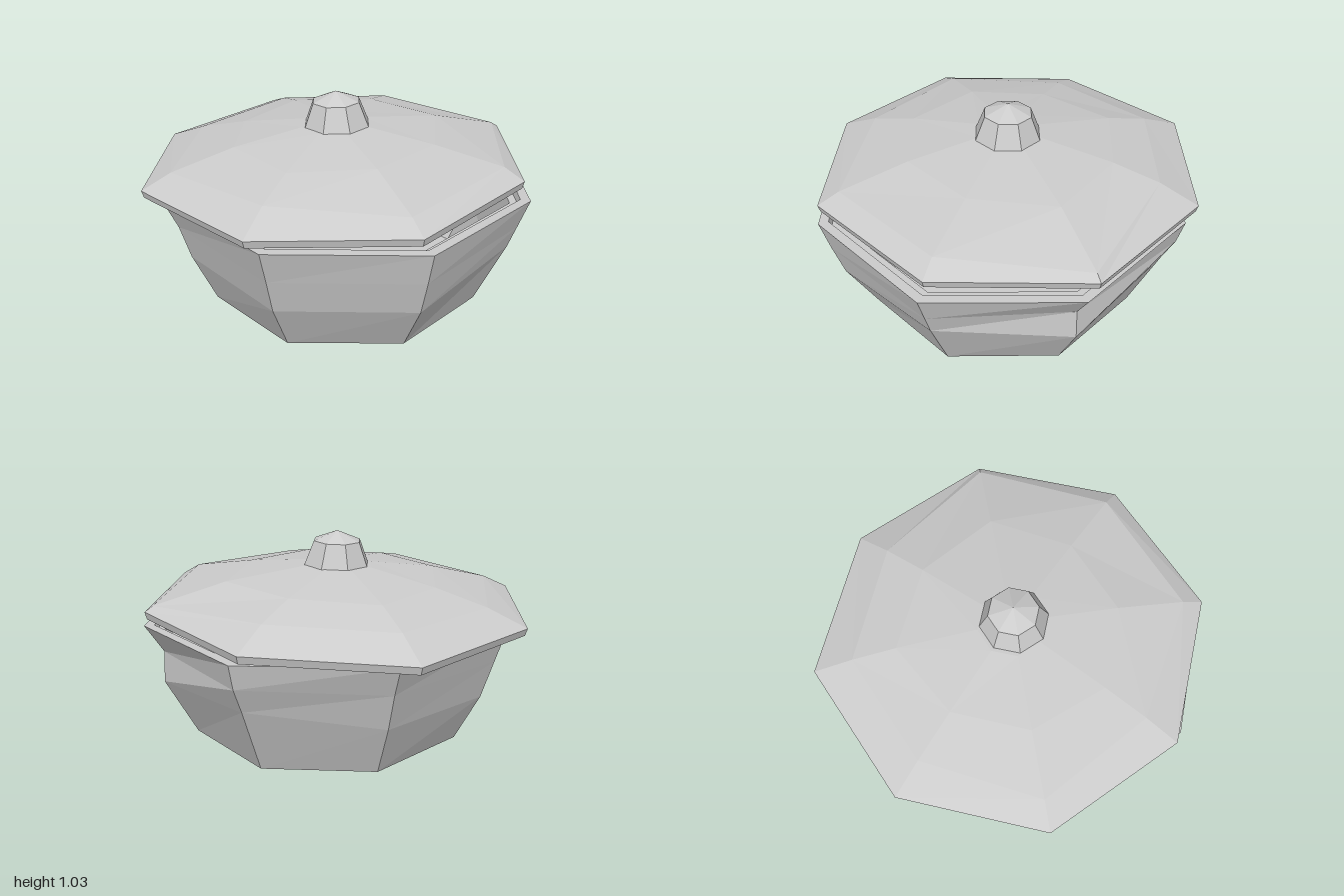
import * as THREE from 'three';

const SIDES = 8;
const material = new THREE.MeshStandardMaterial({ color: 0xcccccc, flatShading: true });

// Octagonal cross-section; radius and height may vary per corner.
// Corner 0 points to +x, corner 2 to +z (front).
function ring(radius, height) {
  const at = (v, i) => (Array.isArray(v) ? v[i] : v);
  return Array.from({ length: SIDES }, (_, i) => {
    const a = (i / SIDES) * Math.PI * 2;
    return new THREE.Vector3(Math.cos(a) * at(radius, i), at(height, i), Math.sin(a) * at(radius, i));
  });
}

// Faceted skin over rings, listed from the bottom centre, up the outside, then inwards.
function skin(name, rings) {
  const pos = [];
  const tri = (a, b, c) => {
    if (a.distanceTo(b) > 1e-5 && b.distanceTo(c) > 1e-5 && c.distanceTo(a) > 1e-5) {
      for (const p of [a, b, c]) pos.push(p.x, p.y, p.z);
    }
  };
  for (let k = 0; k < rings.length - 1; k++) {
    for (let i = 0; i < SIDES; i++) {
      const j = (i + 1) % SIDES;
      const [a, b, c, d] = [rings[k][i], rings[k][j], rings[k + 1][j], rings[k + 1][i]];
      tri(a, d, b);
      tri(b, d, c);
    }
  }
  const geometry = new THREE.BufferGeometry();
  geometry.setAttribute('position', new THREE.Float32BufferAttribute(pos, 3));
  geometry.computeVertexNormals();
  const mesh = new THREE.Mesh(geometry, material);
  mesh.name = name;
  return mesh;
}

export function createModel() {
  const model = new THREE.Group();
  model.name = 'coveredPot';

  // Hollow bowl with slightly uneven walls and a stepped rim
  const rimY = [0.61, 0.615, 0.62, 0.615, 0.615, 0.61, 0.605, 0.605];
  const bowl = skin('bowl', [
    ring(0, 0),
    ring(0.725, 0),
    ring([0.87, 0.87, 0.86, 0.84, 0.85, 0.84, 0.87, 0.88], [0.34, 0.27, 0.27, 0.27, 0.25, 0.27, 0.35, 0.3]),
    ring([0.91, 0.92, 0.91, 0.89, 0.91, 0.9, 0.93, 0.87], [0.46, 0.45, 0.45, 0.45, 0.45, 0.46, 0.48, 0.46]),
    ring(0.96, rimY),
    ring(0.91, rimY),
    ring(0.9, 0.58),
    ring(0.86, 0.58),
    ring(0.78, 0.3),
    ring(0.65, 0.05),
    ring(0, 0.05),
  ]);
  bowl.position.set(0.04, 0, 0.01);
  model.add(bowl);

  // Lid sits askew, lower on the -x side
  const lid = new THREE.Group();
  lid.name = 'lid';
  lid.rotation.z = 0.03;
  const rimR = [0.99, 1.0, 0.98, 1.0, 0.99, 1.02, 0.99, 1.0];

  // Domed cover with a hollow underside
  lid.add(skin('lidCover', [
    ring(0, 0.8),
    ring(0.5, 0.76),
    ring(0.82, 0.67),
    ring(0.88, 0.635),
    ring(rimR.map((r) => r - 0.01), 0.635),
    ring(rimR, 0.672),
    ring([0.89, 0.89, 0.79, 0.85, 0.79, 0.81, 0.79, 0.96], [0.734, 0.725, 0.75, 0.74, 0.744, 0.75, 0.755, 0.7]),
    ring([0.54, 0.54, 0.55, 0.53, 0.52, 0.58, 0.55, 0.6], [0.805, 0.81, 0.805, 0.815, 0.805, 0.805, 0.81, 0.8]),
    ring(0.17, 0.86),
    ring(0, 0.86),
  ]));

  // Faceted knob with a pointed top
  lid.add(skin('knob', [
    ring(0, 0.84),
    ring(0.177, 0.85),
    ring(0.125, 0.98),
    ring(0, 1.03),
  ]));
  lid.children.forEach((part) => { part.position.x = -0.01; });
  lid.getObjectByName('knob').position.x = 0.012;
  model.add(lid);

  return model;
}
